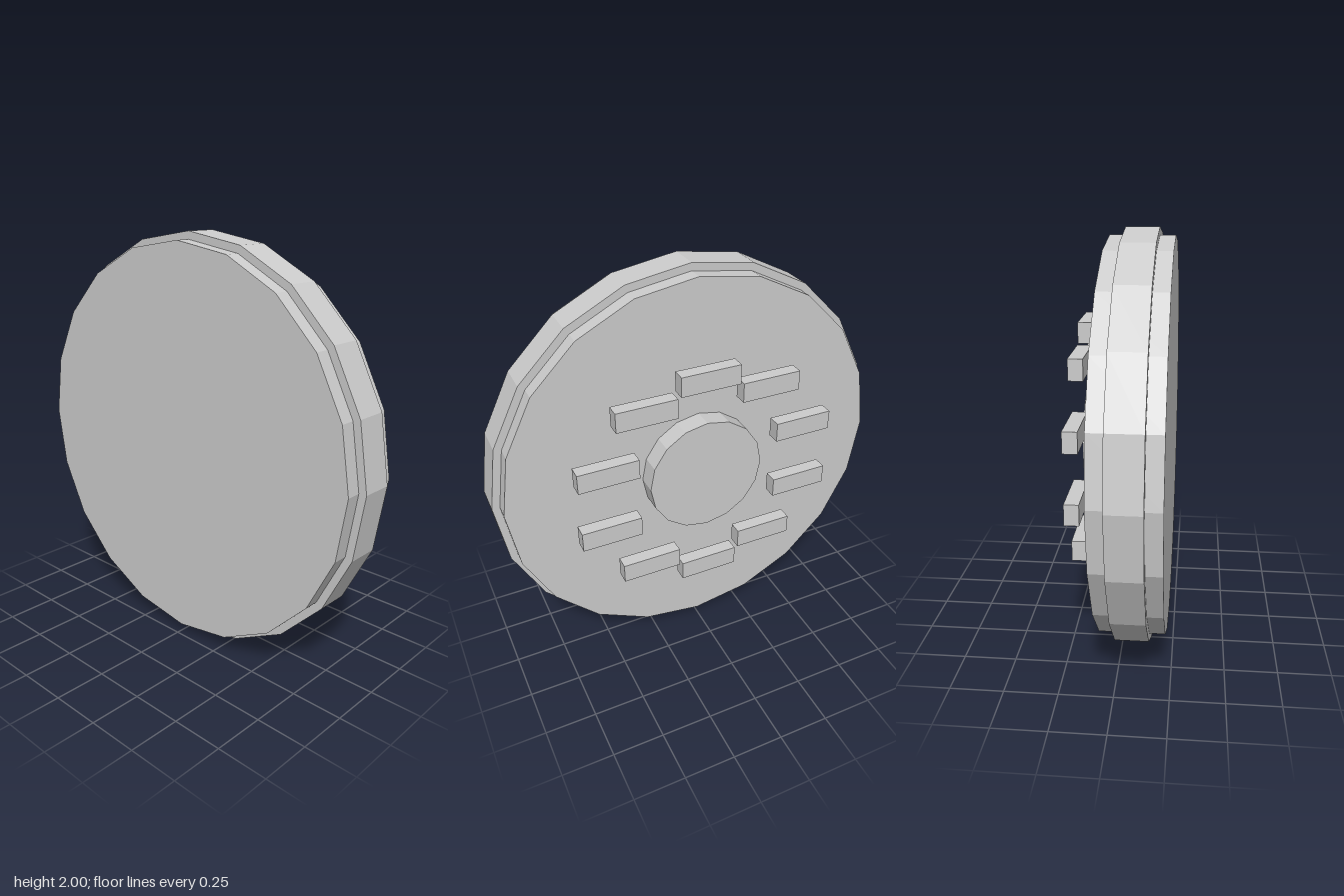
import * as THREE from 'three';

export function createModel() {
  const group = new THREE.Group();
  const material = new THREE.MeshStandardMaterial({ color: 0xcccccc, flatShading: true });

  const add = (name, geometry, x, y, z) => {
    const mesh = new THREE.Mesh(geometry, material);
    mesh.name = name;
    mesh.position.set(x, y, z);
    group.add(mesh);
  };

  // Discs lie across the x axis, spanning x0 to x1
  const addDisc = (name, radius, x0, x1, sides) => {
    const geometry = new THREE.CylinderGeometry(radius, radius, x1 - x0, sides);
    geometry.rotateZ(-Math.PI / 2);
    add(name, geometry, (x0 + x1) / 2, 1, 0);
  };

  addDisc('wheelDisc', 0.963, -0.222, 0.085, 20);
  addDisc('outerBand', 1, -0.148, 0.01, 20);
  addDisc('hub', 0.293, 0.085, 0.185, 16);

  // Ring of ten blocks, all kept level, standing clear of the disc
  const block = new THREE.BoxGeometry(0.067, 0.098, 0.295);
  for (let i = 0; i < 10; i++) {
    const angle = (i * Math.PI) / 5;
    add(`block${i + 1}`, block, 0.187, 1 + 0.53 * Math.cos(angle), 0.53 * Math.sin(angle));
  }

  return group;
}
